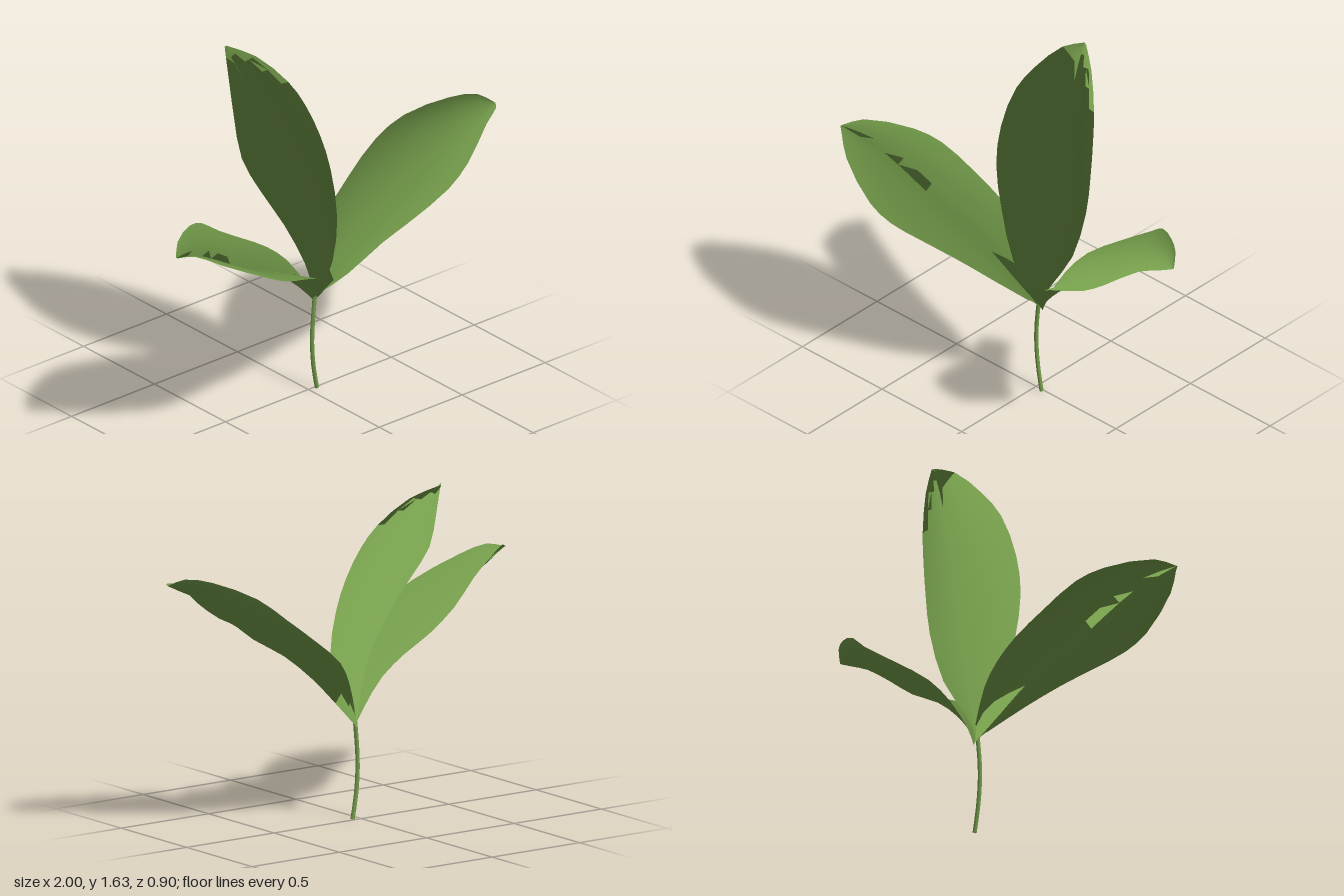
import * as THREE from 'three';

const green = new THREE.MeshStandardMaterial({ color: 0x759e4b, side: THREE.DoubleSide });
const vec = (p) => new THREE.Vector3(...p);

// Leaf lofted between three flowing curves: one edge, the midrib and the other edge.
// Soft foliage normals lean up and outwards; one is given for each of the three curves.
function makeLeaf(name, [normalA, normalM, normalB], edgeA, midrib, edgeB, rows = 16, cols = 10) {
  const [a, m, b] = [edgeA, midrib, edgeB].map(
    (pts) => new THREE.CatmullRomCurve3(pts.map(vec), false, 'centripetal'));
  const positions = [], normals = [], index = [];
  for (let i = 0; i <= rows; i++) {
    const t = i / rows;
    const A = a.getPoint(t), M = m.getPoint(t), B = b.getPoint(t);
    // Each half arches up between the midrib groove and its edge
    const arch = A.clone().add(B).multiplyScalar(0.5).sub(M).multiplyScalar(0.12);
    for (let j = 0; j <= cols; j++) {
      const s = (j / cols) * 2 - 1, k = Math.abs(s);
      const p = M.clone().lerp(s < 0 ? A : B, k).addScaledVector(arch, 4 * k * (1 - k));
      const n = vec(normalM).lerp(vec(s < 0 ? normalA : normalB), k * Math.min(1, 0.3 + t)).normalize();
      positions.push(p.x, p.y, p.z);
      normals.push(n.x, n.y, n.z);
      if (i < rows && j < cols) {
        const q = i * (cols + 1) + j, r = q + cols + 1;
        index.push(q, q + 1, r, q + 1, r + 1, r);
      }
    }
  }
  const geo = new THREE.BufferGeometry();
  geo.setAttribute('position', new THREE.Float32BufferAttribute(positions, 3));
  geo.setAttribute('normal', new THREE.Float32BufferAttribute(normals, 3));
  geo.setIndex(index);
  const leaf = new THREE.Mesh(geo, green);
  leaf.name = name;
  return leaf;
}

export function createModel() {
  const plant = new THREE.Group();
  plant.name = 'plant';

  // Thin, gently bent stem
  const path = new THREE.CatmullRomCurve3([
    [0.043, 0, 0.01], [0.022, 0.12, 0.01], [0.012, 0.25, 0.012], [0.016, 0.36, 0.014], [0.028, 0.48, 0.014]].map(vec));
  const stem = new THREE.Mesh(new THREE.TubeGeometry(path, 8, 0.01, 6), green);
  stem.name = 'stem';
  plant.add(stem);

  // Tall leaf leaning back
  plant.add(makeLeaf('backLeaf',
    [[-0.4, 0.75, -0.45], [-0.08, 0.8, -0.55], [0.35, 0.85, -0.45]],
    [[0.01, 0.5, 0.03], [-0.08, 0.7, 0.07], [-0.18, 0.92, 0.04], [-0.27, 1.1, -0.02],
      [-0.315, 1.25, -0.1], [-0.295, 1.43, -0.18], [-0.25, 1.53, -0.26], [-0.18, 1.62, -0.37], [-0.12, 1.63, -0.45]],
    [[0.03, 0.45, 0.0], [0.025, 0.62, -0.035], [0.01, 0.8, -0.08], [-0.01, 0.97, -0.135],
      [-0.03, 1.13, -0.195], [-0.055, 1.28, -0.25], [-0.075, 1.42, -0.315], [-0.1, 1.54, -0.385], [-0.12, 1.625, -0.45]],
    [[0.05, 0.5, 0.03], [0.12, 0.63, 0.03], [0.2, 0.8, -0.03], [0.22, 1.02, -0.1],
      [0.2, 1.18, -0.15], [0.16, 1.33, -0.21], [0.11, 1.44, -0.27], [0.0, 1.57, -0.37], [-0.11, 1.63, -0.45]]));

  // Leaf spreading to the model's left
  plant.add(makeLeaf('leftLeaf',
    [[-0.3, 0.6, -0.7], [0.4, 0.85, -0.2], [0.35, 0.9, -0.05]],
    [[0.05, 0.51, -0.02], [0.12, 0.66, -0.07], [0.21, 0.78, -0.12], [0.38, 0.91, -0.16],
      [0.56, 1.04, -0.175], [0.68, 1.14, -0.12], [0.85, 1.22, 0.0], [0.95, 1.235, 0.08], [1.0, 1.2, 0.145]],
    [[0.03, 0.43, -0.01], [0.11, 0.545, 0.05], [0.22, 0.67, 0.085], [0.36, 0.79, 0.11],
      [0.53, 0.89, 0.12], [0.67, 1.0, 0.125], [0.82, 1.11, 0.135], [0.93, 1.165, 0.145], [1.0, 1.2, 0.15]],
    [[0.04, 0.5, 0.04], [0.12, 0.61, 0.14], [0.25, 0.76, 0.23], [0.36, 0.85, 0.288],
      [0.58, 0.96, 0.312], [0.71, 1.05, 0.3], [0.87, 1.17, 0.24], [0.97, 1.2, 0.19], [1.0, 1.2, 0.15]]));

  // Leaf spreading to the model's right
  plant.add(makeLeaf('rightLeaf',
    [[-0.3, 0.9, -0.05], [-0.45, 0.8, -0.35], [-0.2, 0.9, -0.15]],
    [[0.02, 0.53, 0.08], [-0.08, 0.665, 0.215], [-0.22, 0.76, 0.305], [-0.36, 0.83, 0.38],
      [-0.5, 0.89, 0.438], [-0.62, 0.95, 0.45], [-0.84, 1.06, 0.375], [-0.94, 1.11, 0.3], [-1.0, 1.1, 0.245]],
    [[0.03, 0.45, 0.0], [-0.09, 0.57, 0.04], [-0.22, 0.68, 0.065], [-0.35, 0.765, 0.085],
      [-0.5, 0.83, 0.11], [-0.65, 0.925, 0.14], [-0.79, 1.015, 0.175], [-0.91, 1.065, 0.21], [-1.0, 1.1, 0.24]],
    [[0.01, 0.53, -0.02], [-0.08, 0.67, -0.06], [-0.18, 0.76, -0.085], [-0.31, 0.84, -0.1],
      [-0.47, 0.94, -0.08], [-0.62, 1.05, -0.03], [-0.74, 1.1, 0.03], [-0.93, 1.13, 0.165], [-1.0, 1.1, 0.235]]));

  return plant;
}
